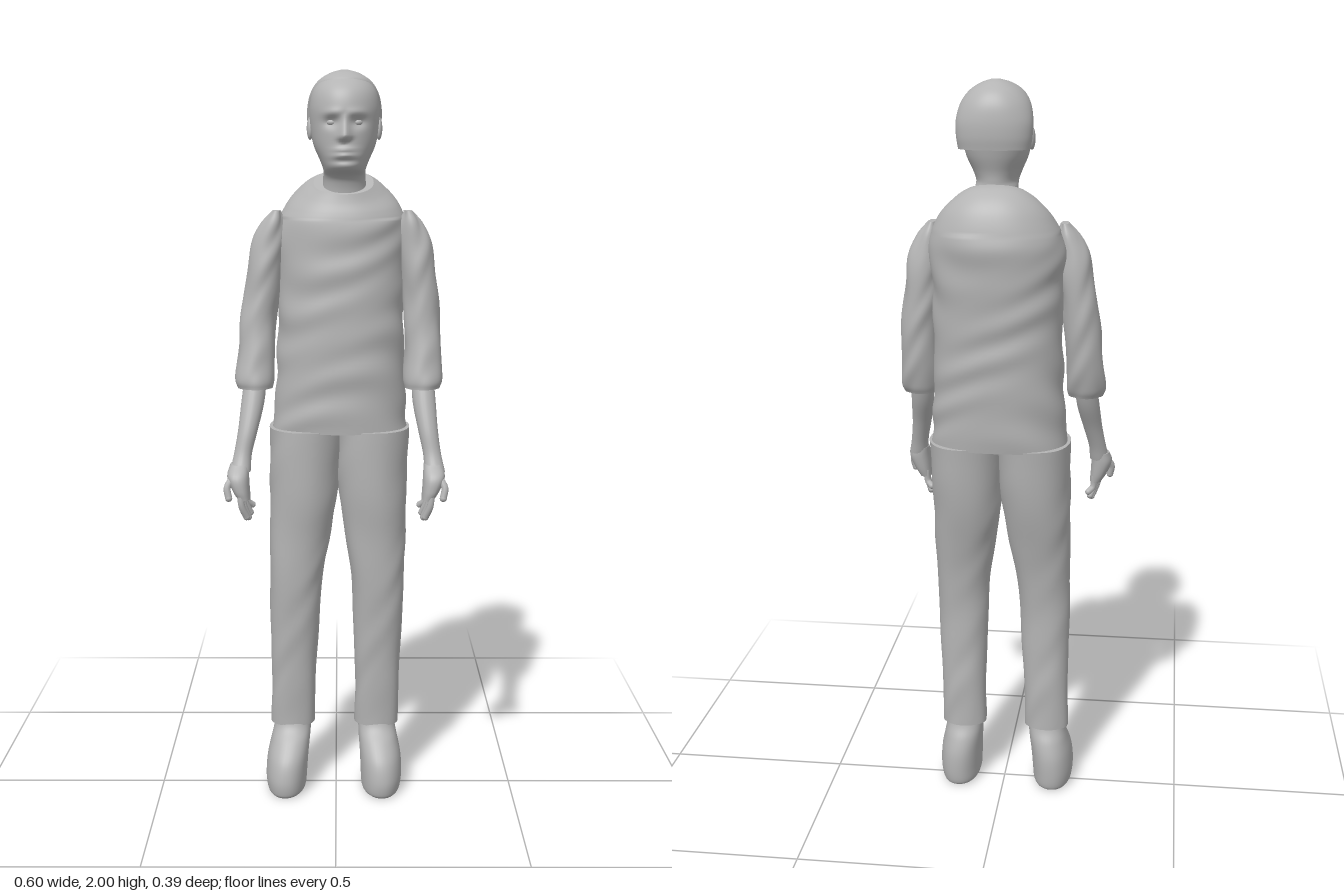
import * as THREE from 'three';

const clay = new THREE.MeshStandardMaterial({ color: 0xb4b4b4 });
clay.name = 'plain grey';

const bump = (d, w) => Math.exp(-(d * d) / (w * w));
const clamp01 = THREE.MathUtils.clamp;

// Smooth body through horizontal rings [y, xMin, xMax, zBack, zFront], bottom to top.
// power 2 gives ellipses, more gives boxier sections; shape(v, angle) nudges each vertex.
function loft(rings, { sides = 40, steps = 6, power = 2, shape } = {}) {
  const spline = new THREE.CubicInterpolant(rings.map((_, i) => i), rings.flat(), 5);
  const rows = (rings.length - 1) * steps;
  const pos = [], index = [], v = new THREE.Vector3();
  const soft = (c) => Math.sign(c) * Math.pow(Math.abs(c), 2 / power);
  for (let j = 0; j <= rows; j++) {
    const [y, x0, x1, z0, z1] = spline.evaluate(j / steps);
    for (let i = 0; i < sides; i++) {
      const a = (i / sides) * Math.PI * 2;
      v.set((x0 + x1) / 2 + soft(Math.cos(a)) * (x1 - x0) / 2, y,
        (z0 + z1) / 2 + soft(Math.sin(a)) * (z1 - z0) / 2);
      if (shape) shape(v, a);
      pos.push(v.x, v.y, v.z);
    }
  }
  for (let j = 0; j < rows; j++) {
    for (let i = 0; i < sides; i++) {
      const p = j * sides + i, q = j * sides + (i + 1) % sides;
      index.push(p, p + sides, q, q, p + sides, q + sides);
    }
  }
  // Flat end caps with their own vertices keep the rims crisp
  for (const row of [0, rows]) {
    const start = pos.length / 3, c = [0, 0, 0];
    for (let i = 0; i < sides; i++) {
      for (let k = 0; k < 3; k++) {
        const n = pos[(row * sides + i) * 3 + k];
        pos.push(n);
        c[k] += n / sides;
      }
    }
    pos.push(...c);
    for (let i = 0; i < sides; i++) {
      const p = start + i, q = start + (i + 1) % sides;
      if (row === 0) index.push(start + sides, p, q);
      else index.push(start + sides, q, p);
    }
  }
  const geo = new THREE.BufferGeometry();
  geo.setAttribute('position', new THREE.Float32BufferAttribute(pos, 3));
  geo.setIndex(index);
  geo.computeVertexNormals();
  return geo;
}

function add(parent, name, geo) {
  const mesh = new THREE.Mesh(geo, clay);
  mesh.name = name;
  parent.add(mesh);
  return mesh;
}

function ball(parent, name, [x, y, z], [rx, ry, rz]) {
  const mesh = add(parent, name, new THREE.SphereGeometry(1, 20, 14));
  mesh.position.set(x, y, z);
  mesh.scale.set(rx, ry, rz);
  return mesh;
}

// Cloth folds: push the surface in and out along its ring angle
const folds = (amount, freq) => (v, a) => {
  const d = amount * Math.sin(v.y * freq + 2.2 * Math.sin(a * 2 + v.y * 7))
    * (0.6 + 0.4 * Math.sin(a * 3 + v.y * 19));
  v.x += Math.cos(a) * d;
  v.z += Math.sin(a) * d;
};

// Rings given as [y, inner, outer, zBack, zFront], placed on side s about a centre line
const sided = (rings, s, centre) => rings.map(([y, inner, outer, z0, z1]) => {
  const a = centre(y) + s * inner, b = centre(y) + s * outer;
  return [y, Math.min(a, b), Math.max(a, b), z0, z1];
});

function buildHead() {
  const head = new THREE.Group();
  head.name = 'head';
  const cx = 0.022;
  // Face relief pressed into the front of the skull
  const face = (v, a) => {
    const front = clamp01(Math.sin(a) * 2 - 0.4, 0, 1);
    const dx = v.x - cx, y = v.y;
    const bridge = clamp01((1.885 - y) / 0.055, 0, 1) * clamp01((y - 1.812) / 0.012, 0, 1);
    let d = 0.027 * bump(dx, 0.008 + 0.007 * bridge) * bridge;
    d -= 0.012 * bump(Math.abs(dx) - 0.034, 0.02) * bump(y - 1.863, 0.014);
    d += 0.005 * bump(Math.abs(dx) - 0.03, 0.028) * bump(y - 1.887, 0.01);
    d += 0.007 * bump(dx, 0.026) * (bump(y - 1.795, 0.006) + bump(y - 1.78, 0.006));
    d -= 0.005 * bump(dx, 0.03) * bump(y - 1.766, 0.007);
    v.z += d * front;
  };
  add(head, 'skullAndNeck', loft([
    [1.64, -0.045, 0.09, -0.075, 0.06],
    [1.70, -0.036, 0.08, -0.065, 0.068],
    [1.728, -0.034, 0.078, -0.06, 0.085],
    [1.746, -0.034, 0.078, -0.06, 0.128],
    [1.77, -0.043, 0.087, -0.064, 0.138],
    [1.81, -0.06, 0.104, -0.078, 0.137],
    [1.86, -0.068, 0.112, -0.09, 0.138],
    [1.905, -0.069, 0.113, -0.095, 0.14],
    [1.945, -0.06, 0.104, -0.088, 0.125],
    [1.975, -0.037, 0.081, -0.065, 0.088],
    [1.99, 0.0, 0.044, -0.03, 0.04],
  ], { sides: 96, steps: 9, power: 2.1, shape: face }));
  // Close hair shell with a straight edge at the nape
  add(head, 'hair', loft([
    [1.828, -0.071, 0.115, -0.1, 0.018],
    [1.86, -0.076, 0.12, -0.105, 0.02],
    [1.90, -0.077, 0.121, -0.105, 0.035],
    [1.94, -0.068, 0.112, -0.098, 0.075],
    [1.97, -0.048, 0.092, -0.08, 0.093],
    [1.99, -0.018, 0.062, -0.05, 0.06],
    [2.0, 0.012, 0.032, -0.022, 0.005],
  ], { sides: 56, power: 2.2 }));
  for (const s of [-1, 1]) {
    ball(head, 'eye', [cx + s * 0.033, 1.863, 0.113], [0.013, 0.009, 0.012]);
    ball(head, 'ear', [cx + s * 0.09, 1.85, 0.026], [0.009, 0.03, 0.017]).rotation.x = -0.15;
  }
  return head;
}

function buildArm(s) {
  const arm = new THREE.Group();
  arm.name = s > 0 ? 'leftArm' : 'rightArm';
  const centre = (y) => 0.004 + 0.012 * clamp01((y - 1) / 0.6, 0, 1);
  add(arm, 'sleeve', loft(sided([
    [1.165, 0.18, 0.272, -0.012, 0.085],
    [1.19, 0.176, 0.279, -0.025, 0.088],
    [1.25, 0.175, 0.276, -0.04, 0.073],
    [1.35, 0.172, 0.27, -0.052, 0.058],
    [1.45, 0.163, 0.256, -0.056, 0.053],
    [1.54, 0.153, 0.245, -0.054, 0.048],
    [1.60, 0.152, 0.218, -0.044, 0.042],
    [1.637, 0.163, 0.188, -0.026, 0.03],
  ], s, centre), { shape: folds(0.003, 42) }));
  add(arm, 'forearm', loft(sided([
    [0.955, 0.232, 0.287, 0.102, 0.168],
    [1.0, 0.229, 0.277, 0.088, 0.143],
    [1.06, 0.215, 0.268, 0.062, 0.127],
    [1.13, 0.2, 0.262, 0.025, 0.1],
    [1.2, 0.195, 0.255, 0.0, 0.07],
  ], s, centre), { sides: 24 }));
  add(arm, 'palm', loft(sided([
    [0.885, 0.228, 0.262, 0.115, 0.188],
    [0.91, 0.23, 0.277, 0.108, 0.192],
    [0.945, 0.232, 0.29, 0.102, 0.187],
    [0.975, 0.234, 0.282, 0.1, 0.158],
  ], s, () => 0), { sides: 24, power: 2.4 }));
  // Fingers and thumb as bent tubes with rounded tips
  const digit = (name, pts, r) => {
    const path = pts.map(([x, y, z]) => new THREE.Vector3(s * x, y, z));
    add(arm, name, new THREE.TubeGeometry(new THREE.CatmullRomCurve3(path), 10, r, 10));
    ball(arm, name + 'Tip', path[path.length - 1].toArray(), [r, r, r]);
  };
  [0.83, 0.825, 0.833, 0.85].forEach((tip, i) => {
    const z = 0.18 - i * 0.019, x = 0.253 - i * 0.004;
    digit('finger', [[x, 0.905, z], [x - 0.003, 0.87, z + 0.001], [x - 0.015, tip + 0.008, z - 0.008]], 0.009);
  });
  digit('thumb', [[0.272, 0.945, 0.165], [0.288, 0.92, 0.178], [0.284, 0.892, 0.184]], 0.0095);
  return arm;
}

function buildLeg(s) {
  const leg = new THREE.Group();
  leg.name = s > 0 ? 'leftLeg' : 'rightLeg';
  const centre = (y) => -0.007 + 0.015 * y;
  add(leg, 'trouserLeg', loft(sided([
    [0.187, 0.058, 0.181, -0.062, 0.042],
    [0.30, 0.056, 0.182, -0.064, 0.05],
    [0.42, 0.052, 0.183, -0.064, 0.06],
    [0.60, 0.042, 0.188, -0.07, 0.078],
    [0.75, 0.02, 0.189, -0.1, 0.088],
    [0.88, 0.0, 0.19, -0.13, 0.098],
    [1.05, -0.008, 0.192, -0.152, 0.103],
  ], s, centre), { power: 2.2, shape: folds(0.002, 30) }));
  add(leg, 'shoe', loft(sided([
    [0.0, 0.09, 0.183, -0.072, 0.115],
    [0.012, 0.08, 0.19, -0.085, 0.126],
    [0.05, 0.077, 0.194, -0.09, 0.129],
    [0.10, 0.074, 0.19, -0.089, 0.115],
    [0.145, 0.07, 0.18, -0.078, 0.08],
    [0.18, 0.068, 0.173, -0.062, 0.047],
    [0.22, 0.068, 0.172, -0.052, 0.034],
  ], s, centre), { power: 2.2 }));
  return leg;
}

export function createModel() {
  const figure = new THREE.Group();
  figure.name = 'standingFigure';
  // Shirt with wrinkles; its collar slopes down towards the throat
  const wrinkle = folds(0.0035, 55);
  add(figure, 'shirt', loft([
    [1.045, -0.175, 0.195, -0.156, 0.1],
    [1.2, -0.163, 0.187, -0.167, 0.103],
    [1.36, -0.158, 0.184, -0.174, 0.103],
    [1.5, -0.16, 0.186, -0.184, 0.1],
    [1.59, -0.163, 0.192, -0.19, 0.096],
    [1.645, -0.135, 0.17, -0.172, 0.088],
    [1.685, -0.093, 0.128, -0.125, 0.078],
    [1.71, -0.06, 0.1, -0.078, 0.072],
  ], {
    sides: 72, steps: 12, power: 2.25,
    shape: (v, a) => {
      if (v.y < 1.62) wrinkle(v, a);
      v.y -= 0.4 * v.z * THREE.MathUtils.smoothstep(v.y, 1.6, 1.71);
    },
  }));
  figure.add(buildHead());
  for (const s of [-1, 1]) figure.add(buildArm(s), buildLeg(s));
  return figure;
}
